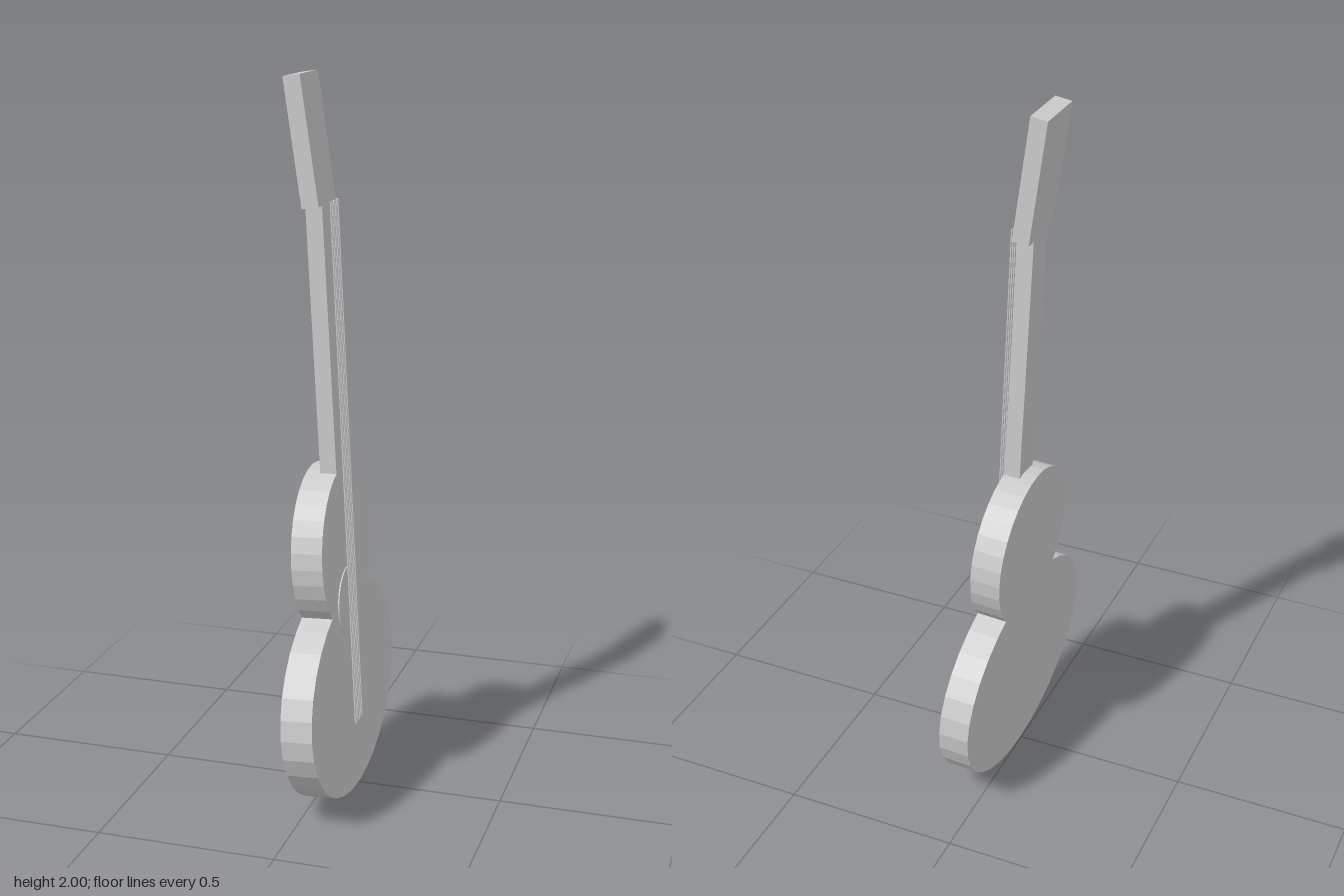
import * as THREE from 'three';

const TILT = 0.0555;   // lean of body and neck
const CENTRE_Z = 0.015; // neck, strings and sound hole sit slightly off centre

export function createModel() {
  const guitar = new THREE.Group();
  guitar.name = 'guitar';
  const material = new THREE.MeshStandardMaterial({ color: 0xcccccc, flatShading: true });

  function add(name, geometry, x, y, z, tilt = TILT) {
    const mesh = new THREE.Mesh(geometry, material);
    mesh.name = name;
    mesh.position.set(x, y, z);
    mesh.rotation.z = tilt;
    guitar.add(mesh);
  }

  // Elliptical slab whose flat faces look along x
  const slab = (ry, rz, depth) =>
    new THREE.CylinderGeometry(1, 1, depth, 32).rotateZ(-Math.PI / 2).scale(1, ry, rz);

  // Body
  add('lowerBody', slab(0.29, 0.398, 0.087), 0.031, 0.294, 0);
  add('upperBody', slab(0.23, 0.23, 0.087), 0.0075, 0.714, 0);
  add('soundHole', slab(0.098, 0.098, 0.008), 0.059, 0.56, CENTRE_Z);

  // Neck and head
  add('neck', new THREE.BoxGeometry(0.046, 0.73, 0.09), -0.005, 1.3, CENTRE_Z);
  add('head', new THREE.BoxGeometry(0.047, 0.342, 0.155), -0.049, 1.828, CENTRE_Z + 0.001, 0.147);

  // Six strings
  for (let i = 0; i < 6; i++) {
    const string = new THREE.CylinderGeometry(0.0025, 0.0025, 1.47, 8);
    add(`string${i + 1}`, string, 0.055, 0.938, CENTRE_Z + (i - 2.5) * 0.0132, 0.0505);
  }
  return guitar;
}
